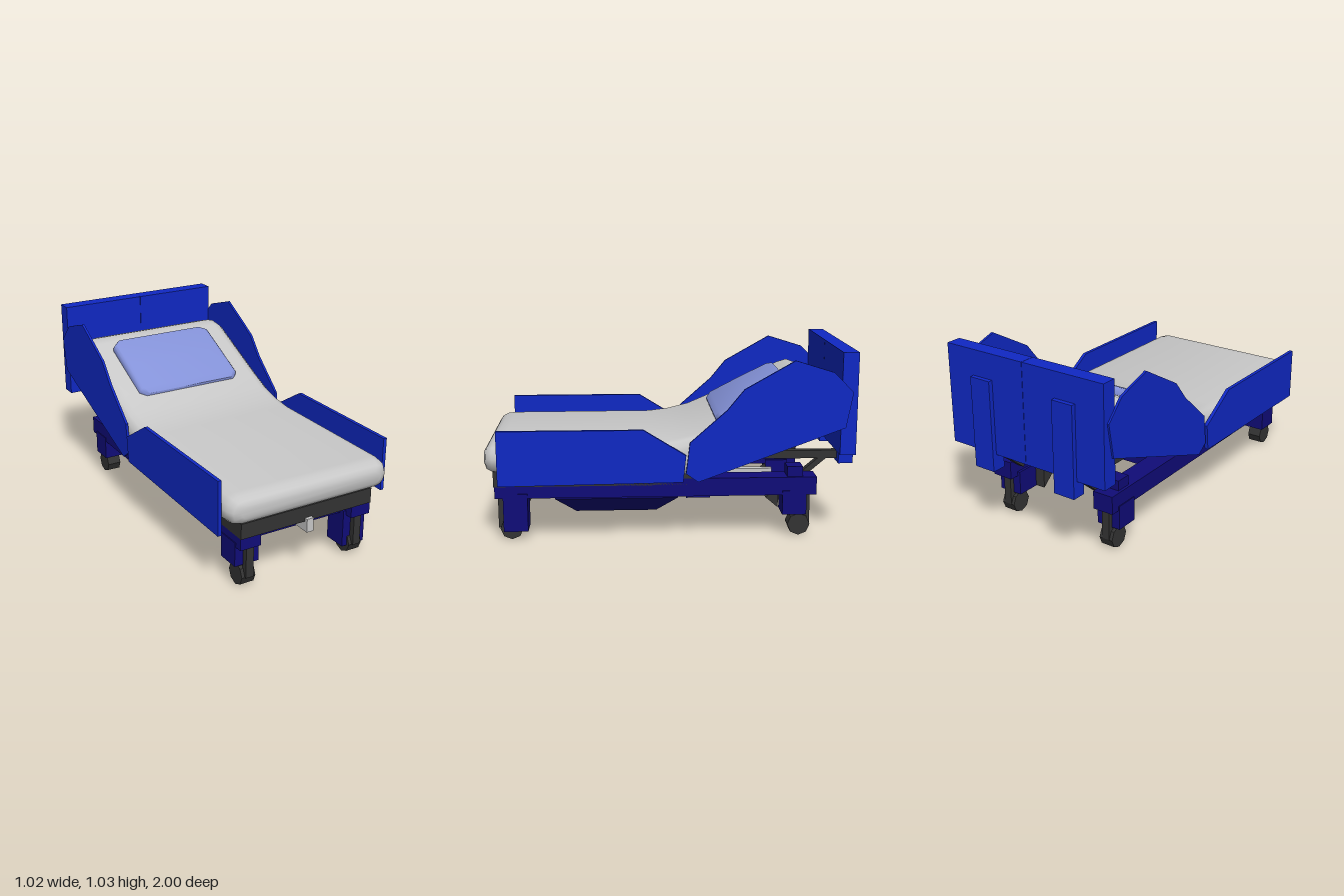
import * as THREE from 'three';
import { toCreasedNormals } from 'three/addons/utils/BufferGeometryUtils.js';

const paint = (name, color) => {
  const m = new THREE.MeshStandardMaterial({ color });
  m.name = name;
  return m;
};

// Loft of rounded rectangles; each section is [zTop, yTop, zBottom, yBottom, halfWidth]
function loft(sections, radius) {
  const pos = [], idx = [], n = 16;
  for (const [zt, yt, zb, yb, w] of sections) {
    const h = Math.hypot(zt - zb, yt - yb), r = Math.min(radius, h * 0.45);
    for (let i = 0; i < 4; i++) {
      const sx = i === 0 || i === 3 ? 1 : -1, sy = i < 2 ? 1 : -1;
      for (let k = 0; k < 4; k++) {
        const a = (i + k / 3) * Math.PI / 2;
        const v = (sy * (h / 2 - r) + Math.sin(a) * r) / h + 0.5;
        pos.push(sx * (w - r) + Math.cos(a) * r, yb + (yt - yb) * v, zb + (zt - zb) * v);
      }
    }
  }
  const last = (sections.length - 1) * n;
  for (let s = 0; s < last; s += n) for (let j = 0; j < n; j++) {
    const k = (j + 1) % n, a = s + j, b = s + k, c = b + n, d = a + n;
    idx.push(a, d, c, a, c, b);
  }
  for (let j = 1; j < n - 1; j++) idx.push(0, j, j + 1, last, last + j + 1, last + j);
  const g = new THREE.BufferGeometry();
  g.setAttribute('position', new THREE.Float32BufferAttribute(pos, 3));
  g.setIndex(idx);
  return toCreasedNormals(g, 0.9);
}

export function createModel() {
  const bed = new THREE.Group();
  bed.name = 'adjustableBed';
  const blue = paint('panel blue', 0x1028c4);
  const navy = paint('chassis navy', 0x100c78);
  const dark = paint('dark grey', 0x333333);
  const pale = paint('mattress grey', 0xc8c8c8);
  const lilac = paint('pillow lilac', 0x8492d8);

  const add = (name, geo, mat) => {
    const m = new THREE.Mesh(geo, mat);
    m.name = name;
    bed.add(m);
    return m;
  };
  // Box from its limits
  const box = (name, mat, x0, x1, y0, y1, z0, z1) =>
    add(name, new THREE.BoxGeometry(x1 - x0, y1 - y0, z1 - z0), mat)
      .position.set((x0 + x1) / 2, (y0 + y1) / 2, (z0 + z1) / 2);
  // Box mirrored to both sides
  const pair = (name, mat, x0, x1, ...rest) => {
    box(name, mat, x0, x1, ...rest);
    box(name, mat, -x1, -x0, ...rest);
  };
  // Bar running between two points of the side plane
  const bar = (name, mat, x, w, t, [z1, y1], [z2, y2]) => {
    const m = add(name, new THREE.BoxGeometry(w, t, Math.hypot(z2 - z1, y2 - y1)), mat);
    m.position.set(x, (y1 + y2) / 2, (z1 + z2) / 2);
    m.rotation.x = Math.atan2(-(y2 - y1), z2 - z1);
  };
  // Upright panel from a [z, y] outline
  const panel = (name, mat, x, t, outline) => {
    const shape = new THREE.Shape(outline.map(p => new THREE.Vector2(...p)));
    const g = new THREE.ExtrudeGeometry(shape, { depth: t, bevelEnabled: false });
    g.translate(0, 0, -t / 2).rotateY(-Math.PI / 2);
    add(name, g, mat).position.x = x;
  };

  // Mattress, flat at the foot and raised at the head
  add('mattress', loft([
    [1.0, 0.50, 1.0, 0.43, 0.42], [0.985, 0.522, 0.985, 0.405, 0.46],
    [0.955, 0.538, 0.955, 0.392, 0.48], [0.91, 0.543, 0.91, 0.388, 0.487],
    [0.10, 0.545, 0.10, 0.37, 0.487], [-0.02, 0.56, -0.04, 0.365, 0.487],
    [-0.14, 0.59, -0.2, 0.375, 0.487], [-0.28, 0.65, -0.36, 0.425, 0.487],
    [-0.68, 0.84, -0.76, 0.575, 0.487], [-0.735, 0.86, -0.80, 0.595, 0.47],
    [-0.775, 0.85, -0.82, 0.62, 0.43],
  ], 0.07), pale);

  // Pillow resting on the raised part
  add('pillow', loft([
    [-0.24, 0.65, -0.25, 0.615, 0.29], [-0.265, 0.68, -0.28, 0.625, 0.325],
    [-0.44, 0.772, -0.46, 0.70, 0.325], [-0.60, 0.85, -0.62, 0.78, 0.325],
    [-0.63, 0.86, -0.64, 0.81, 0.29],
  ], 0.03), lilac);

  // Sleeping platform
  box('footPlatform', dark, -0.4, 0.4, 0.30, 0.385, -0.13, 0.96);
  bar('headPlatform', dark, 0, 0.8, 0.03, [-0.13, 0.325], [-0.915, 0.615]);
  bar('backrestStrut', pale, 0, 0.06, 0.025, [-0.28, 0.345], [-0.89, 0.572]);

  // Headboard in two leaves, with two rear posts
  pair('headboard', blue, 0.001, 0.495, 0.48, 1.03, -0.975, -0.89);
  pair('headboardPost', blue, 0.2, 0.325, 0.39, 0.89, -1.0, -0.92);

  // Side rails and supports on both sides
  for (const s of [1, -1]) {
    panel('footRail', blue, s * 0.502, 0.02, [
      [0.925, 0.333], [0.925, 0.63], [0.155, 0.63], [-0.07, 0.49], [-0.055, 0.345]]);
    panel('headRail', blue, s * 0.498, 0.014, [
      [-0.07, 0.39], [-0.09, 0.557], [-0.285, 0.73], [-0.375, 0.84], [-0.64, 0.99],
      [-0.845, 0.926], [-0.95, 0.82], [-0.915, 0.63], [-0.135, 0.343]]);
    bar('headboardArm', dark, s * 0.26, 0.04, 0.045, [-0.47, 0.432], [-0.95, 0.432]);
    bar('armLink', dark, s * 0.26, 0.04, 0.03, [-0.18, 0.325], [-0.50, 0.435]);
    bar('armBrace', dark, s * 0.26, 0.04, 0.03, [-0.72, 0.31], [-0.85, 0.42]);
    panel('brakePedal', dark, s * 0.24, 0.06, [
      [-0.60, 0.125], [-0.53, 0.185], [-0.60, 0.24]]);
  }

  // Chassis frame
  pair('sideBeam', navy, 0.28, 0.4, 0.235, 0.335, -0.79, 0.955);
  box('middleCrossBeam', navy, -0.36, 0.36, 0.215, 0.335, -0.21, -0.08);
  box('footCrossBeam', navy, -0.3, 0.3, 0.24, 0.31, 0.76, 0.88);
  pair('headMount', navy, 0.29, 0.385, 0.32, 0.39, -0.715, -0.63);
  box('footLever', pale, -0.02, 0.02, 0.245, 0.32, 0.8, 0.98);
  box('headLever', pale, -0.02, 0.02, 0.25, 0.285, -0.6, -0.3);

  // Belly housing tapering to a flat bottom
  let tub = new THREE.BoxGeometry(0.54, 0.23, 0.68, 1, 2, 1).translate(0, 0.185, 0.3);
  const p = tub.attributes.position;
  for (let i = 0; i < p.count; i++) {
    const y = p.getY(i);
    if (y < 0.08) p.setXYZ(i, Math.sign(p.getX(i)) * 0.105, 0.07, p.getZ(i) > 0.3 ? 0.53 : 0.075);
    else if (y < 0.25) p.setY(i, 0.19);
  }
  tub = tub.toNonIndexed();
  tub.computeVertexNormals();
  add('bellyHousing', tub, navy);

  // Casters with fork and cover
  for (const x of [0.335, -0.335]) for (const z of [0.87, -0.70]) {
    const wheel = new THREE.CylinderGeometry(0.062, 0.062, 0.08, 8).rotateZ(Math.PI / 2);
    add('casterWheel', toCreasedNormals(wheel, 0.3), dark).position.set(x, 0.06, z);
    const f = z > 0 ? 0.925 : -0.745;
    box('casterFork', dark, x - 0.022, x + 0.022, 0.06, 0.25, f - 0.017, f + 0.017);
    const c = z > 0 ? 0.845 : -0.67;
    const low = x > 0 && z > 0 ? 0.05 : 0.125;
    box('casterCover', navy, x - 0.07, x + 0.07, low, 0.26, c - 0.066, c + 0.066);
  }
  return bed;
}
